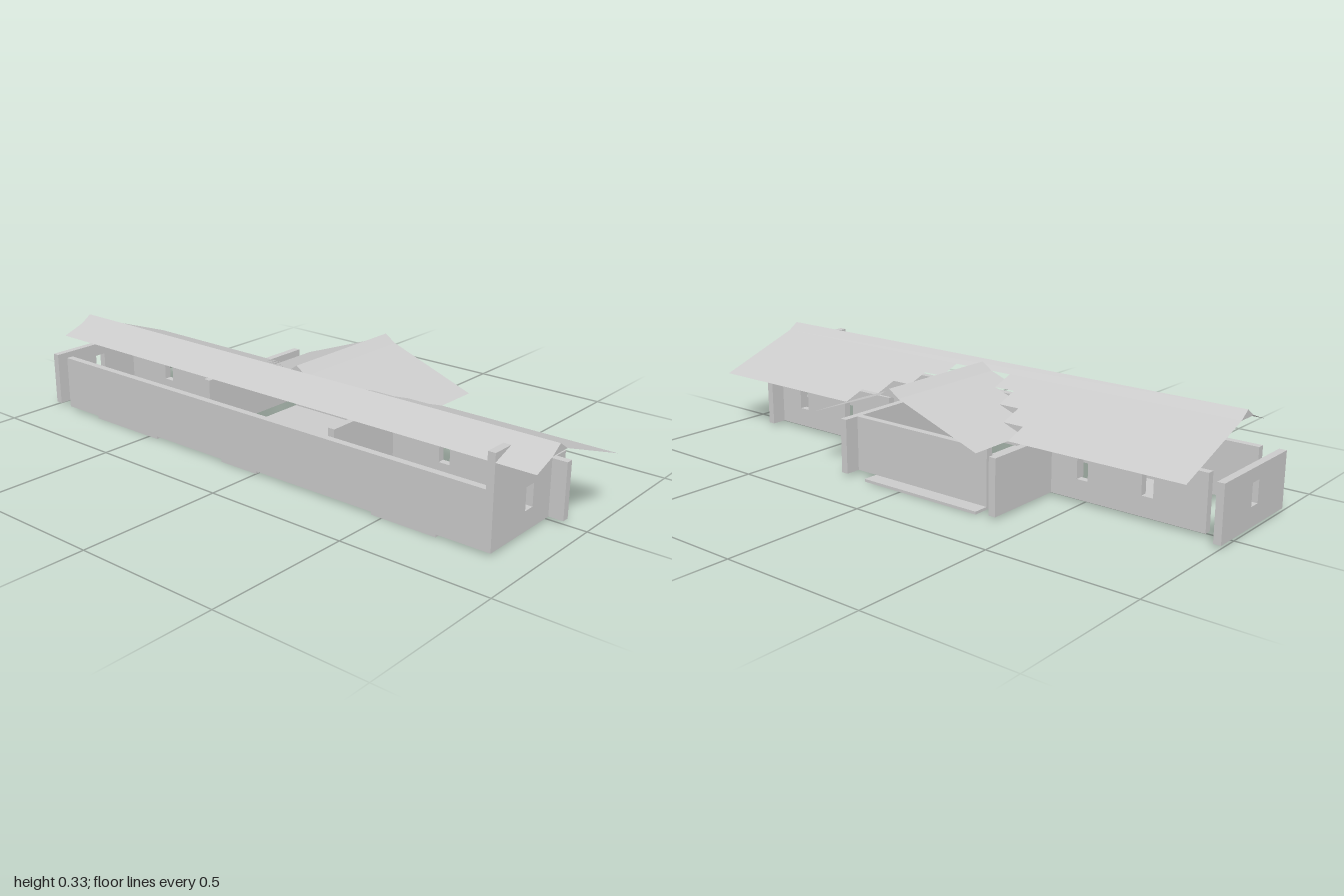
import * as THREE from 'three';

const U = 1 / 13;            // one building module
const EAVE = 2.51, STEP = 0.363, PEAK = 4.3, BASE = 0.12, THICK = 0.32;
const CAP = EAVE + 4 * STEP; // underside of the ridge caps

export function createModel() {
  const model = new THREE.Group();
  const mat = new THREE.MeshStandardMaterial({ color: 0xcccccc, flatShading: true });
  const sheetMat = new THREE.MeshStandardMaterial({ color: 0xcccccc, flatShading: true, side: THREE.DoubleSide });

  function add(name, geometry, material = mat) {
    geometry.scale(U, U, U);
    const mesh = new THREE.Mesh(geometry, material);
    mesh.name = name;
    model.add(mesh);
  }

  // Wall outline (along, y) with window holes; it runs along x or along z
  function wall(name, axis, outline, at, windows = []) {
    const shape = new THREE.Shape(outline.map(([a, y]) => new THREE.Vector2(a, y)));
    for (const c of windows) {
      const w = 0.26, y0 = 0.97, y1 = 1.93;
      shape.holes.push(new THREE.Path([[c - w, y0], [c - w, y1], [c + w, y1], [c + w, y0]]
        .map(([a, y]) => new THREE.Vector2(a, y))));
    }
    const g = new THREE.ExtrudeGeometry(shape, { depth: THICK, bevelEnabled: false });
    if (axis === 'x') g.translate(0, 0, at);
    else g.rotateY(-Math.PI / 2).translate(at + THICK, 0, 0);
    add(name, g);
  }
  const rect = (a, b) => [[a, BASE], [b, BASE], [b, EAVE], [a, EAVE]];

  function slab(name, x0, x1, z0, z1) {
    add(name, new THREE.BoxGeometry(x1 - x0, BASE, z1 - z0)
      .translate((x0 + x1) / 2, BASE / 2, (z0 + z1) / 2));
  }

  // Thin sloping roof panel given by its four corners
  function panel(name, a, b, c, d) {
    const g = new THREE.BufferGeometry();
    g.setAttribute('position', new THREE.Float32BufferAttribute([a, b, c, a, c, d].flat(), 3));
    g.computeVertexNormals();
    add(name, g, sheetMat);
  }

  // Ridge cap: closed triangular prism, one module wide
  function capGeometry(length) {
    const s = new THREE.Shape();
    s.moveTo(-0.5, CAP);
    s.lineTo(0.5, CAP);
    s.lineTo(0, PEAK);
    return new THREE.ExtrudeGeometry(s, { depth: length, bevelEnabled: false });
  }

  // Stepped south end wall
  const steps = [[-4, BASE], [1, BASE], [1, EAVE]];
  for (let i = 0; i < 4; i++) steps.push([-i, EAVE + i * STEP], [-i, EAVE + (i + 1) * STEP]);
  steps.push([-4, CAP]);
  wall('southEndWall', 'x', steps, 11.04, [-1.5]);

  // Remaining main walls
  wall('northEndWall', 'x', rect(-4, 1), -13, [-1.5]);
  wall('westWall', 'z', rect(-12, 11.3), -4);
  wall('eastWallSouth', 'z', rect(4, 12), 0, [6.56, 9.55]);
  wall('eastWallNorth', 'z', rect(-12, -4.65), 0, [-9.45, -6.46]);

  // Wing walls
  wall('wingSouthWall', 'x', rect(-3, 4), 3.02);
  wall('wingNorthWall', 'x', rect(-2, 4), -4.96);
  wall('wingEastWall', 'z', rect(-4, 3.05), 3);

  // Floor plates
  slab('wingFloor', 0, 4, -4, 2);
  slab('southFloor', -4, -2, 6, 9);
  slab('middleFloor', -4, -2, -2, 0);
  slab('northFloor', -4, -1, -10, -6);

  // Ridge caps
  add('mainRidge', capGeometry(25).translate(-2.5, 0, -12));
  add('wingRidge', capGeometry(6).rotateY(Math.PI / 2).translate(-2, 0, 0.5));

  // West slope of the main roof
  panel('mainRoofWest', [-4, CAP - STEP, -12], [-4, CAP - STEP, 13], [-3, CAP, 13], [-3, CAP, -12]);

  // Four courses each of the main east slope and the wing slopes, meeting in stepped valleys
  for (let i = 0; i < 4; i++) {
    const top = CAP - i * STEP, low = top - STEP, x = -2 + i;
    for (const [z0, z1] of [[-12, -1 - i], [2 + i, 13]]) {
      panel('mainRoofEast', [x, top, z0], [x, top, z1], [x + 1, low, z1], [x + 1, low, z0]);
    }
    panel('wingRoofSouth', [x, top, 1 + i], [x, low, 2 + i], [4, low, 2 + i], [4, top, 1 + i]);
    panel('wingRoofNorth', [x, top, -i], [4, top, -i], [4, low, -1 - i], [x, low, -1 - i]);
  }
  return model;
}
